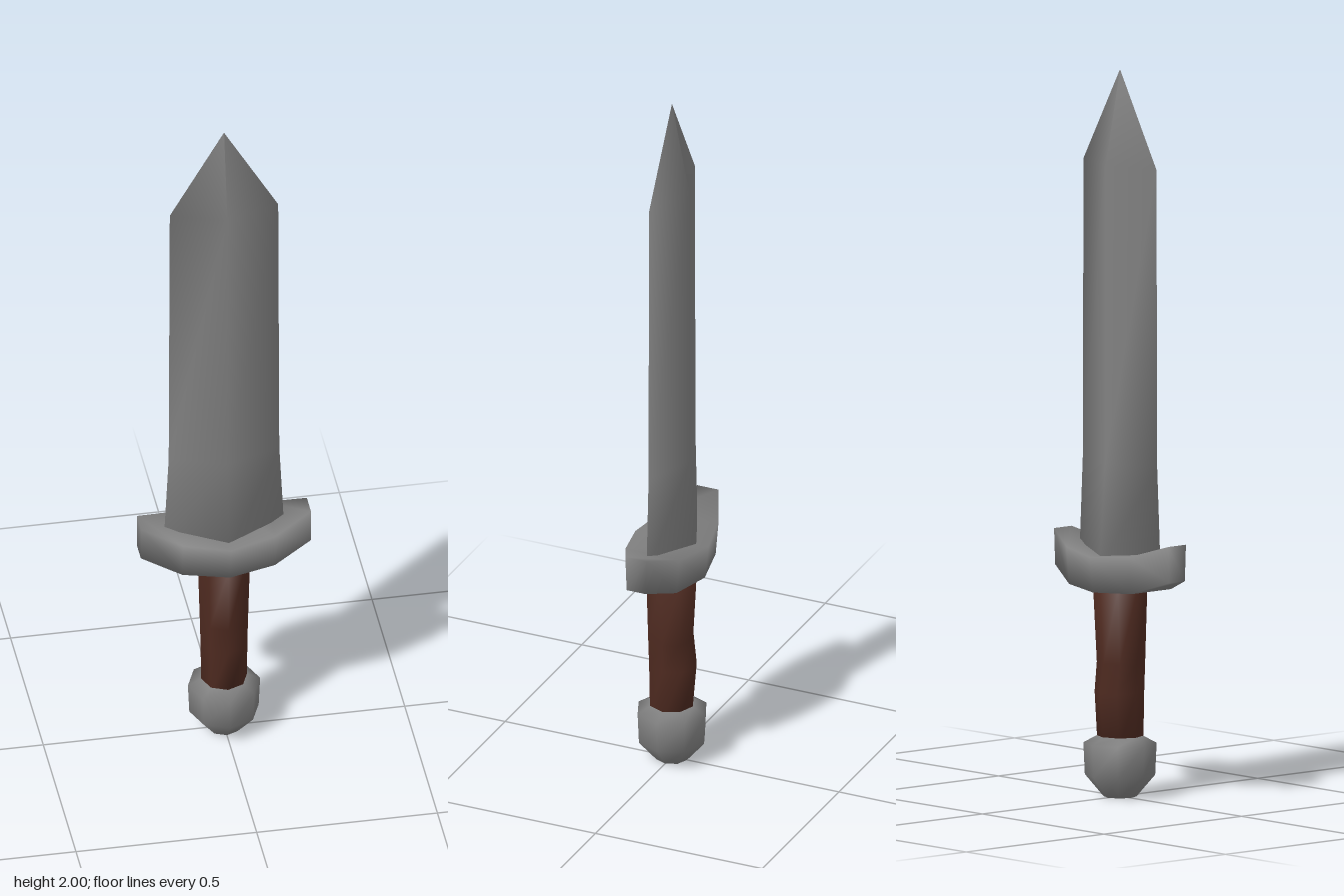
import * as THREE from 'three';

const steel = new THREE.MeshStandardMaterial({ color: 0x808080 });
steel.name = 'steel';
const leather = new THREE.MeshStandardMaterial({ color: 0x4e2a20 });
leather.name = 'leather';

// Smooth-shaded skin over cross-sections of equal point count, closed by fans.
// Points run counter-clockwise as seen from the far end of the loft.
function loft(rings) {
  const n = rings[0].length, last = (rings.length - 1) * n, index = [];
  for (let r = 0; r < rings.length - 1; r++) {
    for (let i = 0; i < n; i++) {
      const a = r * n + i, b = r * n + (i + 1) % n;
      index.push(a, b, b + n, a, b + n, a + n);
    }
  }
  for (let i = 1; i < n - 1; i++) {
    index.push(0, i + 1, i);
    index.push(last, last + i, last + i + 1);
  }
  const g = new THREE.BufferGeometry();
  g.setAttribute('position', new THREE.Float32BufferAttribute(rings.flat(2), 3));
  g.setIndex(index);
  g.computeVertexNormals();
  return g;
}

// Horizontal ring of n points, with separate front and back depths.
function ring(n, y, rx, front, back = front) {
  return Array.from({ length: n }, (_, i) => {
    const a = (i / n) * Math.PI * 2, s = Math.sin(a), c = Math.cos(a);
    return [rx * s, y, c * (c > 0 ? front : back)];
  });
}

export function createModel() {
  const sword = new THREE.Group();
  sword.name = 'sword';
  const add = (name, geometry, material) => {
    const mesh = new THREE.Mesh(geometry, material);
    mesh.name = name;
    sword.add(mesh);
  };

  // Diamond-section blade, flared at the guard and pointed at the top
  add('blade', loft([
    ring(4, 0.64, 0.167, 0.074),
    ring(4, 0.92, 0.153, 0.054),
    ring(4, 1.74, 0.15, 0.052),
    ring(4, 2.0, 0.0005, 0.0005),
  ]), steel);

  // Crossguard: x, bottom y, top y, bottom half depth, top half depth
  const half = [
    [0.235, 0.615, 0.715, 0.028, 0.032],
    [0.128, 0.577, 0.68, 0.072, 0.081],
    [0, 0.57, 0.668, 0.098, 0.11],
  ];
  const stations = [
    ...half.map(([x, ...rest]) => [-x, ...rest]),
    ...half.slice(0, 2).reverse(),
  ];
  add('crossguard', loft(stations.map(([x, y0, y1, z0, z1]) => [
    [x, y0, z0], [x, y0, -z0], [x, y1, -z1], [x, y1, z1],
  ])), steel);

  // Leather grip with a finger swell on the back
  add('grip', loft([
    ring(8, 0.14, 0.063, 0.064, 0.06),
    ring(8, 0.29, 0.065, 0.067, 0.073),
    ring(8, 0.37, 0.067, 0.07, 0.06),
    ring(8, 0.58, 0.073, 0.076, 0.074),
  ]), leather);

  // Rounded pommel
  add('pommel', loft([
    ring(8, 0, 0.045, 0.045),
    ring(8, 0.06, 0.096, 0.096),
    ring(8, 0.148, 0.1, 0.1),
    ring(8, 0.168, 0.062, 0.062),
  ]), steel);

  return sword;
}
